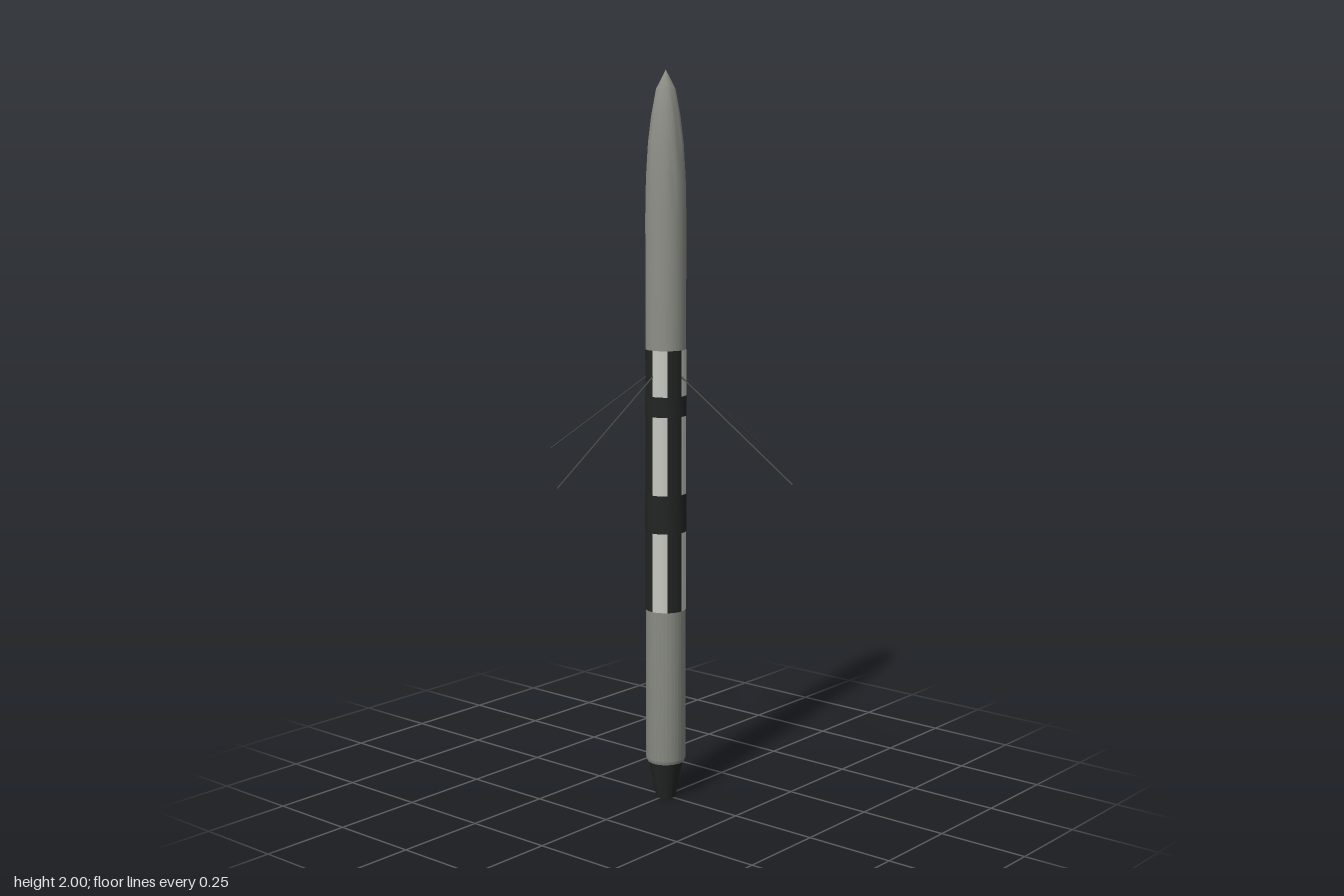
import * as THREE from 'three';
import { toCreasedNormals } from 'three/addons/utils/BufferGeometryUtils.js';

const paint = (name, color) => {
  const m = new THREE.MeshStandardMaterial({ color });
  m.name = name;
  return m;
};

export function createModel() {
  const rocket = new THREE.Group();
  rocket.name = 'rocket';
  const grey = paint('hull grey', 0x8e9088);
  const white = paint('stripe white', 0xc6c8c0);
  const black = paint('marking black', 0x222524);
  const steel = paint('antenna grey', 0x484a48);

  const R = 0.055;
  const add = (name, geometry, material, parent = rocket) => {
    const mesh = new THREE.Mesh(geometry, material);
    mesh.name = name;
    parent.add(mesh);
    return mesh;
  };
  const lathe = (points) => toCreasedNormals(
    new THREE.LatheGeometry(points.map(([r, y]) => new THREE.Vector2(r, y)), 32), 0.4);

  // Hull with pointed nose
  add('hull', lathe([
    [0, 0.105], [0.051, 0.105], [R, 0.115], [R, 1.62], [0.053, 1.72],
    [0.0475, 1.81], [0.039, 1.88], [0.026, 1.95], [0, 2],
  ]), grey);

  // Tapered engine nozzle
  add('nozzle', lathe([[0, 0], [0.027, 0], [0.048, 0.108], [0, 0.108]]), black);

  // Eight alternating painted stripes around the middle
  const stripes = new THREE.Group();
  stripes.name = 'stripes';
  rocket.add(stripes);
  for (let i = 0; i < 8; i++) {
    const geometry = new THREE.CylinderGeometry(
      R + 0.0006, R + 0.0006, 0.72, 4, 1, true, i * Math.PI / 4, Math.PI / 4);
    add('stripe', geometry, i % 2 ? black : white, stripes).position.y = 0.9;
  }

  // Black rings over the stripes
  for (const [name, low, high] of [['wideBand', 0.76, 0.865], ['narrowBand', 1.08, 1.135]]) {
    const r = R + 0.0016;
    add(name, lathe([[R, low], [r, low], [r, high], [R, high]]), black);
  }

  // Four swept antenna rods
  const inner = new THREE.Vector3(0.05, 1.192, 0);
  const outer = new THREE.Vector3(0.43, 0.94, 0);
  for (let i = 0; i < 4; i++) {
    const antenna = new THREE.Group();
    antenna.name = 'antenna';
    antenna.rotation.y = i * Math.PI / 2;
    const rod = add('antennaRod',
      new THREE.CylinderGeometry(0.0022, 0.0022, inner.distanceTo(outer), 8), steel, antenna);
    rod.position.copy(inner).lerp(outer, 0.5);
    rod.quaternion.setFromUnitVectors(
      new THREE.Vector3(0, 1, 0), outer.clone().sub(inner).normalize());
    rocket.add(antenna);
  }
  return rocket;
}
